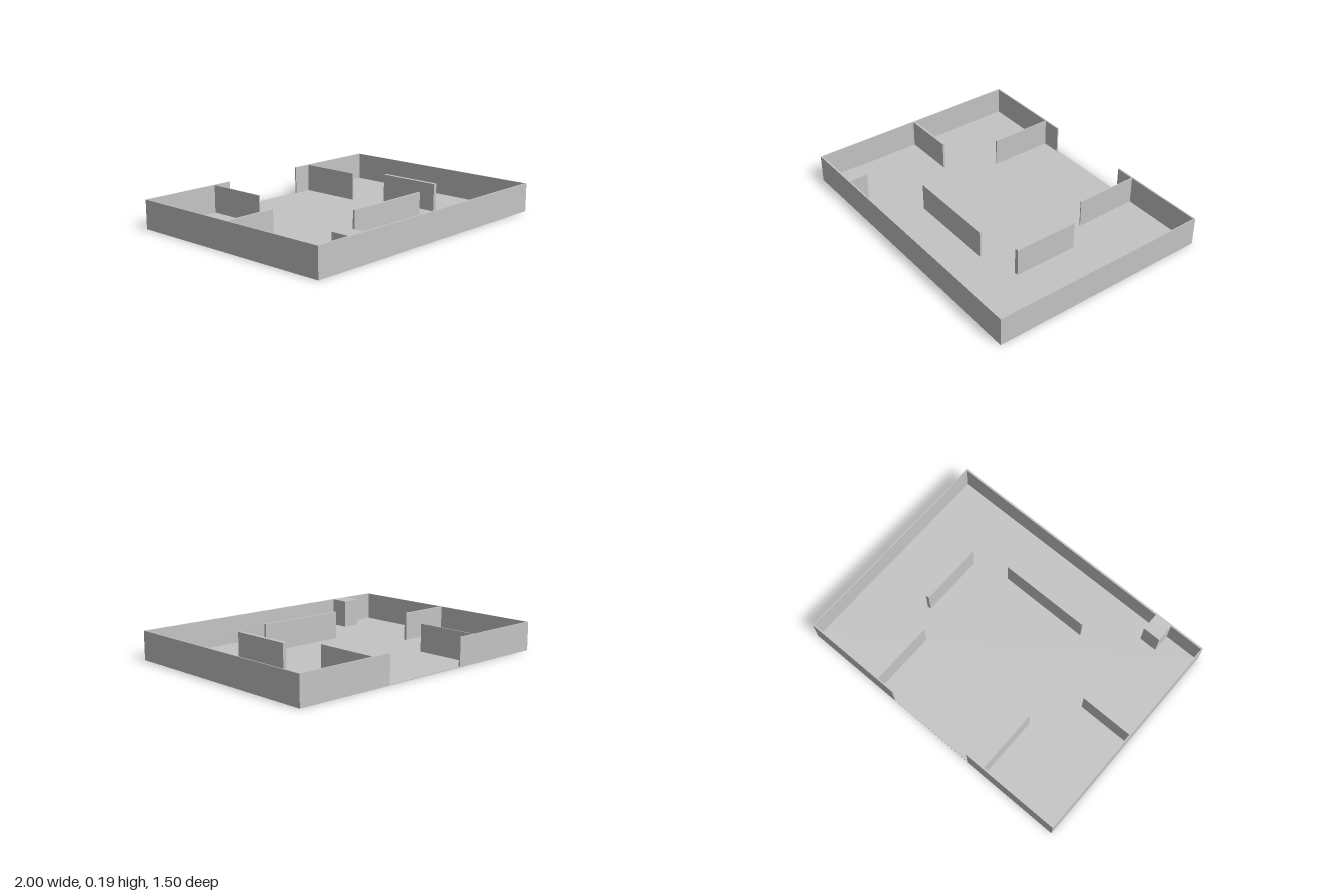
import * as THREE from 'three';

export function createModel() {
  const model = new THREE.Group();
  model.name = 'walledFloorPlan';
  const grey = new THREE.MeshStandardMaterial({ color: 0xc4c4c4 });
  grey.name = 'plainGrey';

  const FLOOR = 0.005; // floor thickness
  const TOP = 0.1925; // top of all walls

  // Box given by its extents in x, z and y
  function slab(name, x0, x1, z0, z1, y0 = FLOOR, y1 = TOP) {
    const mesh = new THREE.Mesh(new THREE.BoxGeometry(x1 - x0, y1 - y0, z1 - z0), grey);
    mesh.position.set((x0 + x1) / 2, (y0 + y1) / 2, (z0 + z1) / 2);
    mesh.name = name;
    model.add(mesh);
  }

  slab('floor', -1, 1, -0.75, 0.75, 0, FLOOR);

  // Outer walls, with a wide opening in the back
  slab('frontWall', -1, 1, 0.738, 0.75);
  slab('rightOuterWall', -1, -0.993, -0.74, 0.738);
  slab('leftOuterWall', 0.993, 1, -0.74, 0.738);
  slab('rightBackWall', -1, -0.3125, -0.75, -0.74);
  slab('leftBackWall', 0.3125, 1, -0.75, -0.74);

  // Thin partitions running in from the back wall
  for (const [name, x] of [['rightPartition', -0.444], ['leftPartition', 0.441]]) {
    slab(name, x - 0.0035, x + 0.0035, -0.74, -0.306);
  }

  // Inner walls
  slab('sideDivider', -0.993, -0.63, 0, 0.016);
  slab('centreDivider', -0.3125, 0.3125, 0.374, 0.39);
  slab('leftDivider', 0.562, 0.588, -0.127, 0.311);

  // Square pillar against the front wall
  slab('cornerPillar', -0.752, -0.63, 0.614, 0.738);

  return model;
}
